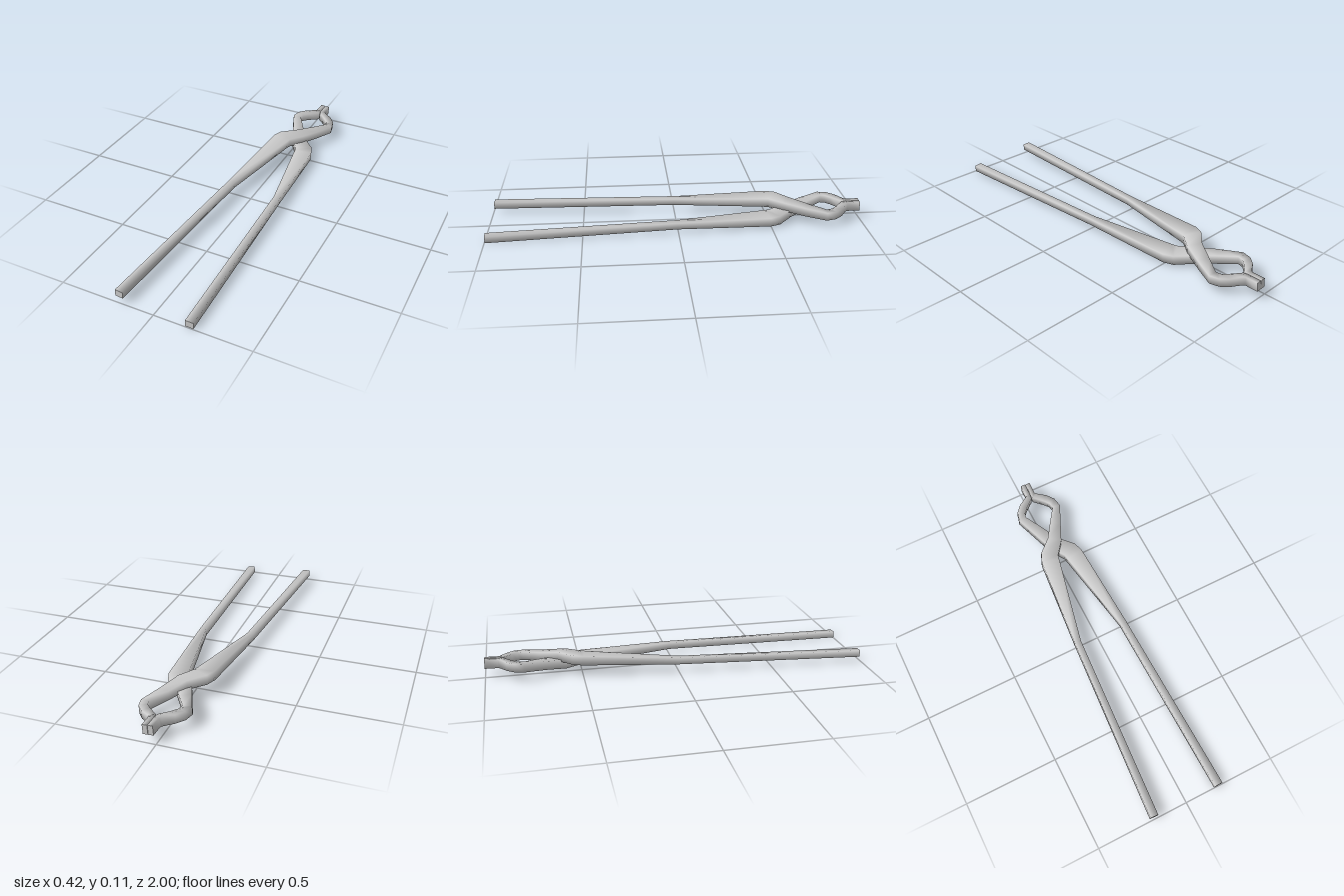
import * as THREE from 'three';

// Stations along one arm, handle end to jaw tip: [x, y, z, halfWidth, halfHeight]
const STATIONS = [
  [-0.186, 0, 0.995, 0.021, 0.018],
  [-0.137, 0, 0, 0.018, 0.018],
  [-0.075, 0.02, -0.487, 0.049, 0.024],
  [-0.062, 0.021, -0.527, 0.047, 0.025],
  [0.002, 0.021, -0.6, 0.038, 0.024],
  [0.053, 0.008, -0.7, 0.03, 0.023],
  [0.105, 0, -0.8, 0.022, 0.022],
  [0.096, 0, -0.84, 0.021, 0.022],
  [0.068, 0, -0.873, 0.021, 0.022],
  [0.018, 0, -0.912, 0.017, 0.024],
  [0.0135, 0, -0.93, 0.0125, 0.024],
  [0.0135, 0, -1, 0.0125, 0.024],
];

// Four-sided bar lofted through the stations, smooth along its length, with flat end caps
function armGeometry() {
  const centres = STATIONS.map(([x, y, z]) => new THREE.Vector3(x, y, z));
  const up = new THREE.Vector3(0, 1, 0);
  const last = centres.length - 1;

  const direction = (i) => {
    const d = centres[i + 1].clone().sub(centres[i]);
    d.y = 0;
    return d.normalize();
  };

  const rings = centres.map((c, i) => {
    const tangent = direction(Math.max(i - 1, 0)).add(direction(Math.min(i, last - 1))).normalize();
    const side = tangent.cross(up);
    const [, , , w, h] = STATIONS[i];
    return [[1, 1], [-1, 1], [-1, -1], [1, -1]].map(([s, t]) =>
      c.clone().addScaledVector(side, s * w).addScaledVector(up, t * h));
  });

  const points = rings.flat();
  const index = [];
  for (let i = 0; i < last; i++) {
    for (let j = 0; j < 4; j++) {
      const a = i * 4 + j;
      const b = i * 4 + (j + 1) % 4;
      index.push(a, a + 4, b, b, a + 4, b + 4);
    }
  }

  // End caps use their own corners so their edges stay sharp
  const start = points.length;
  points.push(...rings[0], ...rings[last]);
  index.push(start, start + 1, start + 2, start, start + 2, start + 3);
  index.push(start + 4, start + 6, start + 5, start + 4, start + 7, start + 6);

  const geometry = new THREE.BufferGeometry().setFromPoints(points);
  geometry.setIndex(index);
  geometry.computeVertexNormals();
  return geometry;
}

export function createModel() {
  const model = new THREE.Group();
  model.name = 'tongs';
  const material = new THREE.MeshStandardMaterial({ color: 0xcccccc });
  const geometry = armGeometry();

  // Both arms share one shape; the lower is the upper turned half round the long axis
  const arms = new THREE.Group();
  arms.name = 'arms';
  ['upperArm', 'lowerArm'].forEach((name, i) => {
    const arm = new THREE.Mesh(geometry, material);
    arm.name = name;
    arm.rotation.z = i * Math.PI;
    arms.add(arm);
  });

  // The tongs lie slightly tilted and rolled on the ground
  arms.position.set(0.0185, 0.047, 0);
  arms.rotation.set(0.018, -0.0185, -0.07);
  model.add(arms);
  model.updateMatrixWorld(true);
  arms.position.y -= new THREE.Box3().setFromObject(model, true).min.y;
  return model;
}
